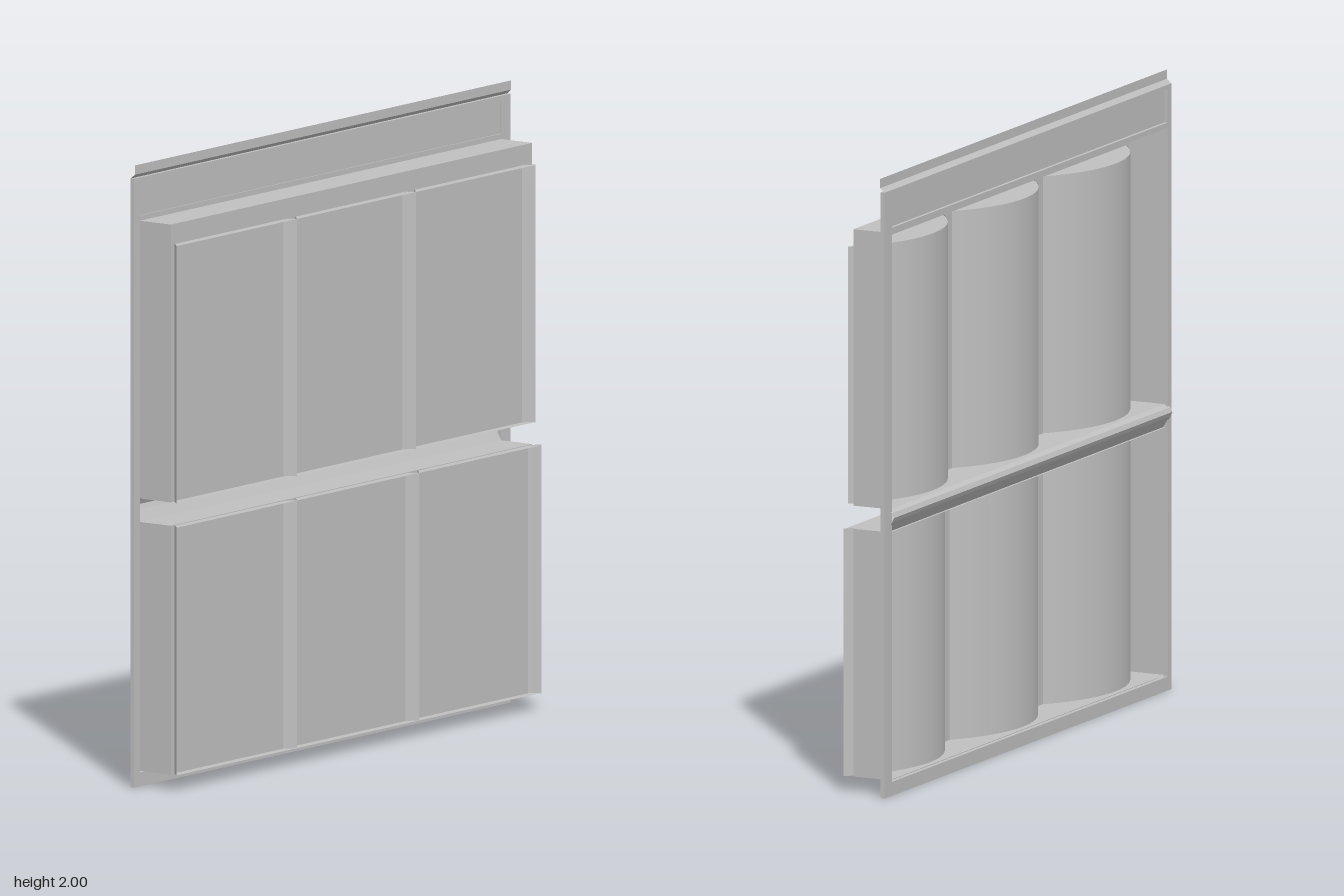
import * as THREE from 'three';

const grey = new THREE.MeshStandardMaterial({ color: 0xc0c0c0, side: THREE.DoubleSide });
grey.name = 'grey';

const LEFT = -0.97, RIGHT = 0.95;   // inner opening of the frame
const FRONT = 0.06, LIP = 0.09, BACK = -0.07;

function add(parent, name, geometry, x = 0, y = 0, z = 0) {
  const mesh = new THREE.Mesh(geometry, grey);
  mesh.name = name;
  mesh.position.set(x, y, z);
  parent.add(mesh);
  return mesh;
}

// Rectangle as a shape or a hole
function rect(Type, x0, x1, y0, y1) {
  return new Type([
    new THREE.Vector2(x0, y0), new THREE.Vector2(x1, y0),
    new THREE.Vector2(x1, y1), new THREE.Vector2(x0, y1),
  ]);
}

// Folded sheet: a [y, z] profile swept along x, flat on each fold
function foldedSheet(profile, x0, x1) {
  const pos = [];
  for (let i = 0; i < profile.length - 1; i++) {
    const [ya, za] = profile[i], [yb, zb] = profile[i + 1];
    pos.push(x0, ya, za, x0, yb, zb, x1, yb, zb, x0, ya, za, x1, yb, zb, x1, ya, za);
  }
  const g = new THREE.BufferGeometry();
  g.setAttribute('position', new THREE.Float32BufferAttribute(pos, 3));
  g.computeVertexNormals();
  return g;
}

// Curved shell bulging backwards, open at the front, capped above and below
function curvedBin(parent, x0, x1, y0, y1) {
  const half = (x1 - x0) / 2, depth = 0.14;
  const r = (half * half + depth * depth) / (2 * depth);
  const a = Math.asin(half / r);
  const cx = (x0 + x1) / 2, cz = LIP - depth + r;
  const bin = new THREE.Group();
  bin.name = 'curvedBin';
  bin.position.set(cx, 0, cz);
  add(bin, 'binWall', new THREE.CylinderGeometry(r, r, y1 - y0, 28, 1, true, Math.PI - a, 2 * a),
    0, (y0 + y1) / 2, 0);
  const arc = new THREE.Shape();
  arc.absarc(0, 0, r, Math.PI / 2 - a, Math.PI / 2 + a, false);
  const cap = new THREE.ShapeGeometry(arc, 28).rotateX(-Math.PI / 2);
  add(bin, 'binTop', cap, 0, y1 - 0.002, 0);
  add(bin, 'binBottom', cap, 0, y0 + 0.002, 0);
  parent.add(bin);
}

// Hollow tray, open at the back, with a row of curved bins
function tray(parent, name, y0, y1, binTop, edges) {
  const group = new THREE.Group();
  group.name = name;
  const w = RIGHT - LEFT, h = y1 - y0, d = FRONT - BACK;
  const cx = (LEFT + RIGHT) / 2, cy = (y0 + y1) / 2, cz = (FRONT + BACK) / 2;
  add(group, 'trayFront', new THREE.PlaneGeometry(w, h), cx, cy, FRONT);
  for (const x of [LEFT, RIGHT]) {
    add(group, 'traySide', new THREE.PlaneGeometry(d, h).rotateY(Math.sign(x) * Math.PI / 2), x, cy, cz);
  }
  add(group, 'trayTop', new THREE.PlaneGeometry(w, d).rotateX(-Math.PI / 2), cx, y1, cz);
  add(group, 'trayBottom', new THREE.PlaneGeometry(w, d).rotateX(Math.PI / 2), cx, y0, cz);
  for (let i = 0; i < edges.length - 1; i++) curvedBin(group, edges[i], edges[i + 1], y0, binTop);
  parent.add(group);
}

export function createModel() {
  const model = new THREE.Group();
  model.name = 'shelfPanel';

  // Frame with a tall opening and a header opening
  const outline = rect(THREE.Shape, -1, 1, 0, 1.957);
  outline.holes.push(
    rect(THREE.Path, LEFT, RIGHT, 0.045, 1.818),
    rect(THREE.Path, LEFT, RIGHT, 1.835, 1.945),
  );
  add(model, 'frame', new THREE.ExtrudeGeometry(outline, { depth: 0.015, bevelEnabled: false }), 0, 0, -0.077);

  // Recessed header panel
  add(model, 'headerPanel', new THREE.PlaneGeometry(RIGHT - LEFT, 0.11),
    (LEFT + RIGHT) / 2, 1.89, -0.066);

  // Sloped fold and thin strip along the top
  add(model, 'topLip', foldedSheet([[1.955, -0.077], [1.97, -0.06], [2, -0.06]], -1, 1));

  // Folded rail between the two trays, with its hollow to the front
  add(model, 'middleRail', foldedSheet(
    [[0.925, -0.062], [0.915, -0.083], [0.9, -0.09], [0.885, -0.083], [0.85, -0.062]], -0.98, 0.96));

  // Lower and upper trays
  tray(model, 'lowerTray', 0.05, 0.85, 0.85, [-0.98, -0.34, 0.31, 0.96]);
  tray(model, 'upperTray', 0.925, 1.818, 1.755, [-0.98, -0.34, 0.293, 0.928]);

  return model;
}
